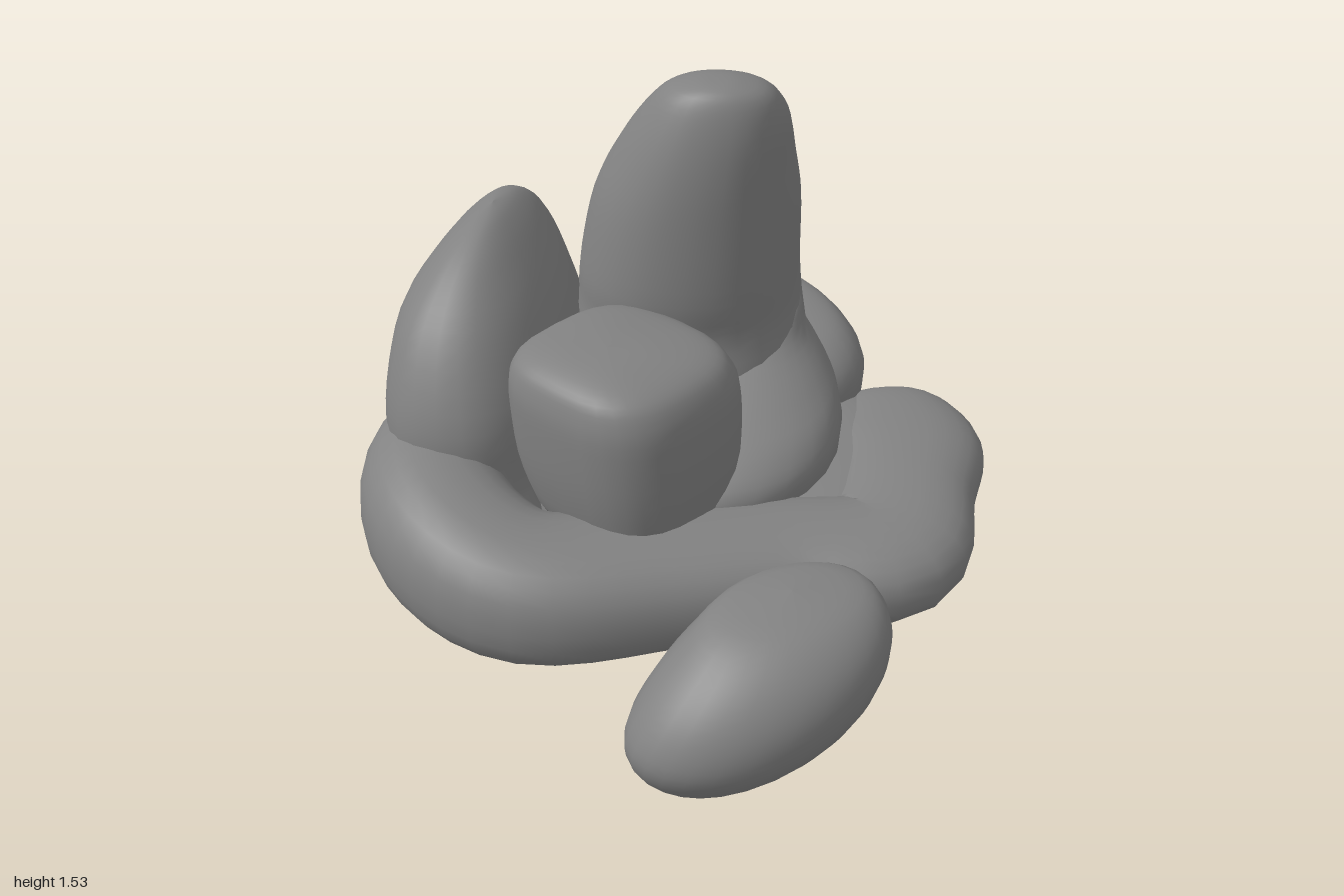
import * as THREE from 'three';

const SIDES = 28;
const material = new THREE.MeshStandardMaterial({ color: 0x828282 });

// Catmull-Rom blend of every column in a table of cross-sections
function blend(rows, steps) {
  const out = [];
  const last = rows.length - 1;
  for (let i = 0; i < last; i++) {
    const p = [rows[Math.max(i - 1, 0)], rows[i], rows[i + 1], rows[Math.min(i + 2, last)]];
    for (let s = 0; s < steps; s++) {
      const t = s / steps;
      out.push(rows[i].map((_, k) => {
        const [a, b, c, d] = p.map((r) => r[k]);
        return b + 0.5 * t * (c - a + t * (2 * a - 5 * b + 4 * c - d + t * (3 * (b - c) + d - a)));
      }));
    }
  }
  out.push(rows[last]);
  return out;
}

// Closed smooth skin over rings { c, u, v }; a power above 2 is squarer than an ellipse
function skin(name, rings, power) {
  const pos = [];
  const index = [];
  const soft = (w) => Math.sign(w) * Math.abs(w) ** (2 / power);
  rings.forEach(({ c, u, v }, j) => {
    for (let i = 0; i < SIDES; i++) {
      const a = (i / SIDES) * Math.PI * 2;
      const p = c.clone().addScaledVector(u, soft(Math.cos(a))).addScaledVector(v, soft(Math.sin(a)));
      pos.push(p.x, p.y, p.z);
      if (j === rings.length - 1) continue;
      const n = (i + 1) % SIDES;
      const q = j * SIDES;
      index.push(q + i, q + SIDES + i, q + n, q + n, q + SIDES + i, q + SIDES + n);
    }
  });
  const geo = new THREE.BufferGeometry();
  geo.setAttribute('position', new THREE.Float32BufferAttribute(pos, 3));
  geo.setIndex(index);
  geo.computeVertexNormals();
  const mesh = new THREE.Mesh(geo, material);
  mesh.name = name;
  return mesh;
}

// Boulder from level sections [y, centreX, centreZ, radiusX, radiusZ], turned in plan
function boulder(name, rows, turn = 0, power = 2.15) {
  const cos = Math.cos(turn);
  const sin = Math.sin(turn);
  return skin(name, blend(rows, 4).map(([y, x, z, rx, rz]) => ({
    c: new THREE.Vector3(x, y, z),
    u: new THREE.Vector3(cos, 0, sin).multiplyScalar(Math.max(rx, 0)),
    v: new THREE.Vector3(-sin, 0, cos).multiplyScalar(Math.max(rz, 0)),
  })), power);
}

// Ledge swept along a path of [x, y, z, halfWidth, halfHeight]
function ledge(name, rows) {
  const path = blend(rows, 5);
  return skin(name, path.map(([x, y, z, w, h], i) => {
    const a = path[Math.max(i - 1, 0)];
    const b = path[Math.min(i + 1, path.length - 1)];
    const t = new THREE.Vector3(b[0] - a[0], 0, b[2] - a[2]).normalize();
    return {
      c: new THREE.Vector3(x, y, z),
      u: new THREE.Vector3(-t.z, 0, t.x).multiplyScalar(Math.max(w, 0)),
      v: new THREE.Vector3(0, Math.max(h, 0), 0),
    };
  }), 2.3);
}

export function createModel() {
  const group = new THREE.Group();
  group.name = 'rockCluster';
  group.add(
    // Central mass, from the foot up to the slope around the tall rock
    boulder('baseRock', [
      [0, -0.2, -0.2, 0, 0],
      [0.01, -0.19, -0.2, 0.08, 0.1],
      [0.05, -0.17, -0.2, 0.17, 0.19],
      [0.12, -0.12, -0.24, 0.28, 0.28],
      [0.22, -0.06, -0.3, 0.35, 0.38],
      [0.35, -0.05, -0.3, 0.45, 0.47],
      [0.52, 0, -0.26, 0.44, 0.45],
      [0.61, 0.07, -0.28, 0.36, 0.38],
      [0.68, 0.12, -0.35, 0.27, 0.3],
      [0.76, 0.15, -0.42, 0.18, 0.2],
      [0.84, 0.17, -0.46, 0.13, 0.12],
      [0.86, 0.17, -0.46, 0, 0],
    ]),
    // Thin web filling the hollow between the base, back rock and ledge
    boulder('web', [
      [0.31, 0.37, -0.24, 0, 0],
      [0.32, 0.37, -0.24, 0.18, 0.27],
      [0.39, 0.37, -0.22, 0.27, 0.39],
      [0.46, 0.36, -0.22, 0.26, 0.38],
      [0.5, 0.34, -0.22, 0.18, 0.27],
      [0.51, 0.34, -0.22, 0, 0],
    ]),
    boulder('tallRock', [
      [0.2, 0, -0.42, 0, 0],
      [0.22, 0, -0.43, 0.15, 0.2],
      [0.38, 0, -0.47, 0.3, 0.35],
      [0.55, 0.01, -0.48, 0.335, 0.36],
      [0.7, 0.005, -0.49, 0.33, 0.36],
      [0.83, 0, -0.5, 0.315, 0.345],
      [0.95, 0, -0.485, 0.305, 0.345],
      [1.15, 0.02, -0.455, 0.28, 0.315],
      [1.3, 0.045, -0.4, 0.235, 0.255],
      [1.42, 0.07, -0.345, 0.19, 0.185],
      [1.5, 0.08, -0.3, 0.135, 0.115],
      [1.53, 0.08, -0.28, 0.06, 0.06],
      [1.535, 0.08, -0.28, 0, 0],
    ], 0, 2.2),
    boulder('sideRock', [
      [0.17, -0.48, 0.05, 0, 0],
      [0.18, -0.48, 0.05, 0.12, 0.13],
      [0.3, -0.5, -0.14, 0.22, 0.35],
      [0.5, -0.53, -0.27, 0.25, 0.42],
      [0.7, -0.54, -0.28, 0.245, 0.42],
      [0.9, -0.55, -0.32, 0.195, 0.36],
      [1.03, -0.54, -0.37, 0.115, 0.27],
      [1.1, -0.53, -0.39, 0.045, 0.14],
      [1.12, -0.53, -0.39, 0, 0],
    ], 0.18, 2.35),
    boulder('blockRock', [
      [0.42, -0.1, 0.06, 0, 0],
      [0.46, -0.1, 0.06, 0.2, 0.2],
      [0.6, -0.12, 0.055, 0.26, 0.25],
      [0.8, -0.13, 0.05, 0.27, 0.265],
      [0.89, -0.14, 0.05, 0.255, 0.25],
      [0.935, -0.15, 0.06, 0.21, 0.21],
      [0.96, -0.17, 0.09, 0.11, 0.11],
      [0.967, -0.17, 0.09, 0, 0],
    ], 0.66, 2.9),
    boulder('backRock', [
      [0.18, 0.28, -0.65, 0, 0],
      [0.19, 0.28, -0.65, 0.13, 0.1],
      [0.28, 0.25, -0.66, 0.28, 0.2],
      [0.42, 0.21, -0.68, 0.35, 0.235],
      [0.56, 0.21, -0.69, 0.36, 0.235],
      [0.65, 0.2, -0.71, 0.3, 0.19],
      [0.69, 0.19, -0.74, 0.18, 0.12],
      [0.7, 0.19, -0.74, 0, 0],
    ], 0.85, 2.05),
    // Curved ledge wrapping the left, front and right of the cluster
    ledge('curvedLedge', [
      [-0.52, 0.46, -0.45, 0, 0],
      [-0.55, 0.46, -0.4, 0.12, 0.15],
      [-0.65, 0.46, -0.06, 0.2, 0.21],
      [-0.59, 0.44, 0.2, 0.2, 0.21],
      [-0.35, 0.41, 0.36, 0.2, 0.18],
      [0, 0.4, 0.28, 0.2, 0.16],
      [0.3, 0.4, 0.2, 0.19, 0.14],
      [0.55, 0.405, 0.15, 0.21, 0.125],
      [0.61, 0.41, -0.1, 0.2, 0.125],
      [0.62, 0.4, -0.32, 0.23, 0.125],
      [0.58, 0.4, -0.5, 0.17, 0.1],
      [0.57, 0.4, -0.56, 0.09, 0.05],
      [0.57, 0.4, -0.575, 0, 0],
    ]),
    // Loose stone in front
    boulder('looseStone', [
      [0.26, 0.14, 0.78, 0, 0],
      [0.27, 0.14, 0.78, 0.13, 0.1],
      [0.33, 0.175, 0.77, 0.24, 0.17],
      [0.42, 0.22, 0.765, 0.305, 0.205],
      [0.52, 0.265, 0.745, 0.305, 0.205],
      [0.61, 0.3, 0.71, 0.26, 0.175],
      [0.67, 0.31, 0.67, 0.18, 0.12],
      [0.69, 0.31, 0.66, 0, 0],
    ], -0.6, 2),
  );
  return group;
}
